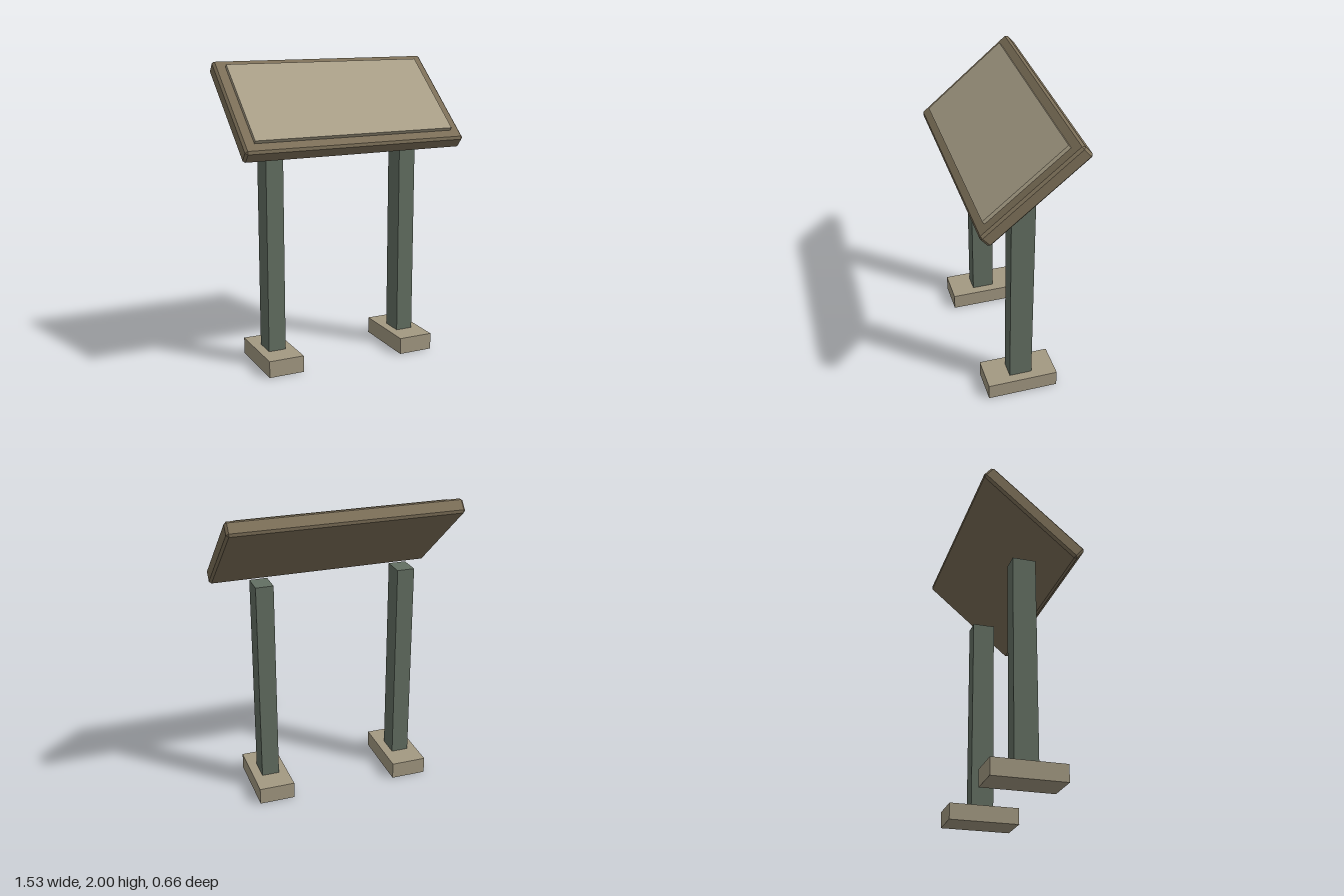
import * as THREE from 'three';
import { ConvexGeometry } from 'three/addons/geometries/ConvexGeometry.js';

const material = (name, color) => {
  const m = new THREE.MeshStandardMaterial({ color });
  m.name = name;
  return m;
};

// Box with every edge cut by one flat chamfer
function chamferBox(w, h, d, c) {
  const half = [w / 2, h / 2, d / 2];
  const points = [];
  for (const sx of [-1, 1]) for (const sy of [-1, 1]) for (const sz of [-1, 1])
    for (let axis = 0; axis < 3; axis++) {
      const [x, y, z] = half.map((s, i) => (i === axis ? s : s - c));
      points.push(new THREE.Vector3(sx * x, sy * y, sz * z));
    }
  return new ConvexGeometry(points);
}

export function createModel() {
  const model = new THREE.Group();
  model.name = 'informationBoard';

  const wood = material('brown frame', 0x7d7059);
  const sheet = material('pale panel', 0xaaa088);
  const metal = material('green grey post', 0x636f62);
  const stone = material('stone footing', 0xa39982);

  const add = (parent, name, geometry, mat, x, y, z) => {
    const mesh = new THREE.Mesh(geometry, mat);
    mesh.name = name;
    mesh.position.set(x, y, z);
    parent.add(mesh);
    return mesh;
  };

  // Tilted board: local +z is its reading side
  const board = new THREE.Group();
  board.name = 'board';
  board.position.y = 1.715;
  board.rotation.x = THREE.MathUtils.degToRad(-50);
  model.add(board);
  add(board, 'boardFrame', chamferBox(1.532, 0.8, 0.1, 0.015), wood, 0, 0, 0);
  add(board, 'boardPanel', new THREE.BoxGeometry(1.384, 0.66, 0.03), sheet, 0, 0.002, 0.06);

  // Two posts, each set in a block footing
  for (const [side, s] of [['left', 1], ['right', -1]]) {
    const support = new THREE.Group();
    support.name = side + 'Support';
    support.position.x = s * 0.483;
    model.add(support);
    add(support, side + 'Post', new THREE.BoxGeometry(0.118, 1.484, 0.154), metal, 0, 0.752, 0);
    add(support, side + 'Footing', new THREE.BoxGeometry(0.24, 0.112, 0.482), stone, 0, 0.056, 0);
  }
  return model;
}
